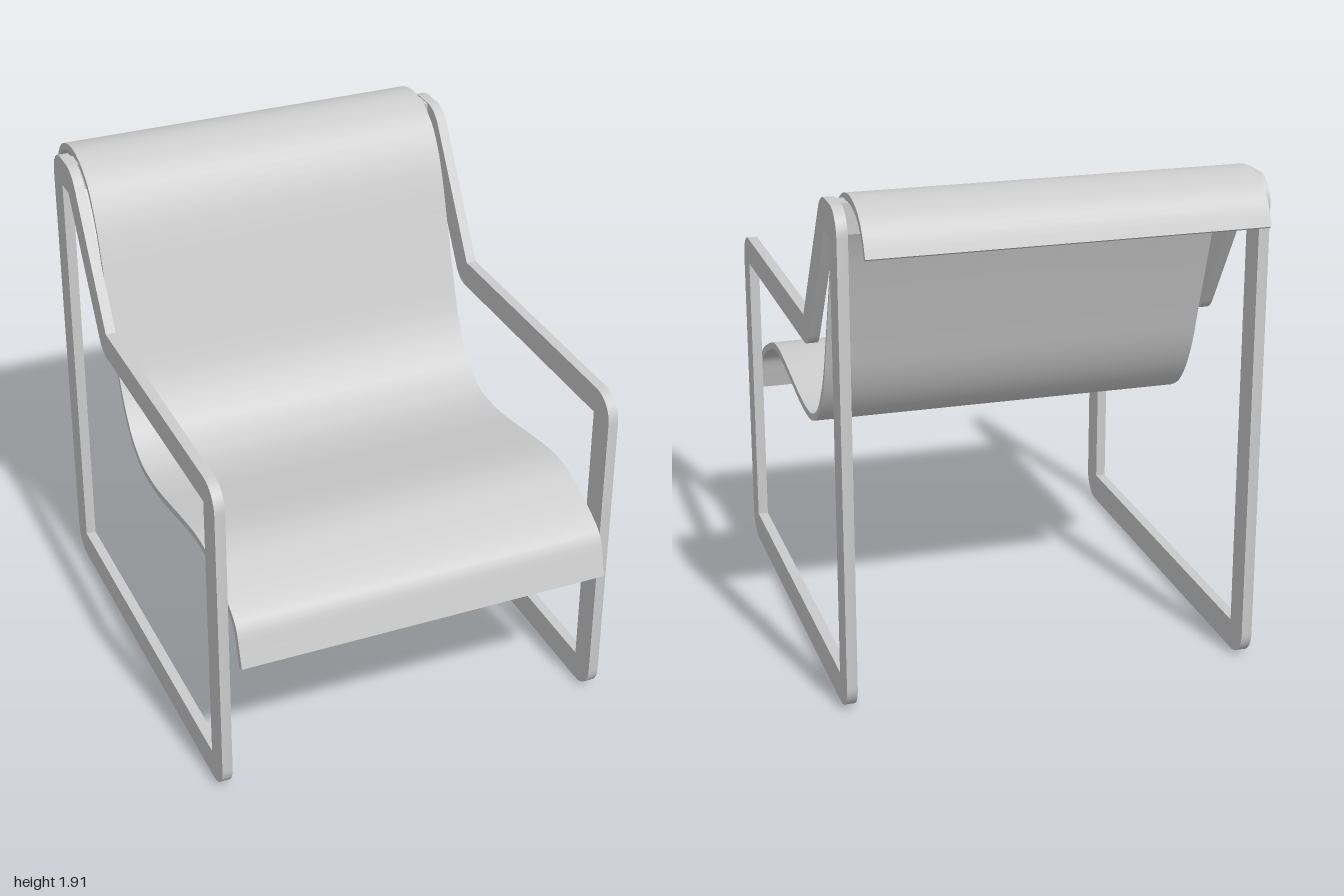
import * as THREE from 'three';
import { toCreasedNormals } from 'three/addons/utils/BufferGeometryUtils.js';

const material = new THREE.MeshStandardMaterial({ color: 0xcccccc });

// Trace a closed loop of [z, y, cornerRadius] points, rounding each corner
function roundedLoop(path, pts) {
  const n = pts.length;
  const P = pts.map(([z, y]) => new THREE.Vector2(z, y));
  for (let i = 0; i < n; i++) {
    const c = P[i], r = pts[i][2] || 0;
    const inDir = P[(i + n - 1) % n].clone().sub(c).normalize();
    const outDir = P[(i + 1) % n].clone().sub(c).normalize();
    const angle = Math.acos(THREE.MathUtils.clamp(inDir.dot(outDir), -1, 1));
    const t = r / Math.tan(angle / 2);
    const k = (4 / 3) * Math.tan((Math.PI - angle) / 4) * r;
    const a = c.clone().addScaledVector(inDir, t);
    const b = c.clone().addScaledVector(outDir, t);
    if (i === 0) path.moveTo(a.x, a.y);
    else path.lineTo(a.x, a.y);
    if (r > 0) {
      const c1 = a.clone().addScaledVector(inDir, -k);
      const c2 = b.clone().addScaledVector(outDir, -k);
      path.bezierCurveTo(c1.x, c1.y, c2.x, c2.y, b.x, b.y);
    }
  }
  path.closePath();
  return path;
}

// Extrude a (z, y) side profile across x from x0 to x1
function extrudeAcross(shape, x0, x1, crease) {
  const geo = new THREE.ExtrudeGeometry(shape, { depth: x1 - x0, bevelEnabled: false, curveSegments: 8 });
  geo.rotateY(-Math.PI / 2);
  geo.translate(x1, 0, 0);
  return toCreasedNormals(geo, crease);
}

function addMesh(group, name, geometry) {
  const mesh = new THREE.Mesh(geometry, material);
  mesh.name = name;
  group.add(mesh);
}

// Side frame: one closed loop forming legs, runner, armrest and back support
function frameShape() {
  const shape = roundedLoop(new THREE.Shape(), [
    [0.9, 0, 0.1], [0.9, 1.34, 0.1], [-0.285, 1.34, 0], [-0.625, 1.88, 0.12],
    [-0.87, 1.88, 0.1], [-0.87, 0, 0.1],
  ]);
  shape.holes.push(roundedLoop(new THREE.Path(), [
    [0.79, 0.115], [-0.76, 0.115], [-0.76, 1.765], [-0.68, 1.765],
    [-0.346, 1.235, 0.1], [0.79, 1.235],
  ]));
  return shape;
}

// Sling centreline as [z, y, thickness], from front lip over the headrest
const SLING = [
  [0.985, 0.63, 0.03], [0.962, 0.705, 0.03], [0.937, 0.775, 0.03], [0.9, 0.807, 0.03],
  [0.79, 0.863, 0.028], [0.68, 0.905, 0.028], [0.6, 0.916, 0.028], [0.5, 0.91, 0.028],
  [0.3, 0.877, 0.028], [0.15, 0.852, 0.028], [0.04, 0.845, 0.028], [-0.06, 0.853, 0.028],
  [-0.17, 0.905, 0.027], [-0.24, 0.985, 0.024], [-0.3, 1.095, 0.018], [-0.35, 1.24, 0.013],
  [-0.42, 1.45, 0.011], [-0.49, 1.655, 0.014], [-0.54, 1.755, 0.018], [-0.6, 1.83, 0.022],
  [-0.69, 1.88, 0.026], [-0.79, 1.893, 0.028], [-0.9, 1.86, 0.026], [-0.955, 1.805, 0.024],
  [-0.99, 1.735, 0.02],
];

// Sling section: the centreline offset to both sides by half its thickness
function slingShape() {
  // the third coordinate of the curve carries the thickness
  const curve = new THREE.CatmullRomCurve3(SLING.map((p) => new THREE.Vector3(...p)), false, 'centripetal');
  const upper = [], lower = [], steps = 72;
  for (let i = 0; i <= steps; i++) {
    const p = curve.getPoint(i / steps), d = curve.getTangent(i / steps);
    const normal = new THREE.Vector2(-d.y, d.x).normalize().multiplyScalar(p.z / 2);
    upper.push(new THREE.Vector2(p.x + normal.x, p.y + normal.y));
    lower.push(new THREE.Vector2(p.x - normal.x, p.y - normal.y));
  }
  return new THREE.Shape([...upper, ...lower.reverse()]);
}

export function createModel() {
  const group = new THREE.Group();
  group.name = 'slingChair';

  addMesh(group, 'rightFrame', extrudeAcross(frameShape(), -0.79, -0.75, 0.6));
  addMesh(group, 'leftFrame', extrudeAcross(frameShape(), 0.747, 0.787, 0.6));
  addMesh(group, 'slingSeat', extrudeAcross(slingShape(), -0.74, 0.72, 0.7));

  // Crossbar joining the frame tops beneath the headrest
  const bar = new THREE.BoxGeometry(1.52, 0.112, 0.076);
  bar.translate(0, 1.821, -0.727);
  addMesh(group, 'topCrossbar', bar);

  return group;
}
